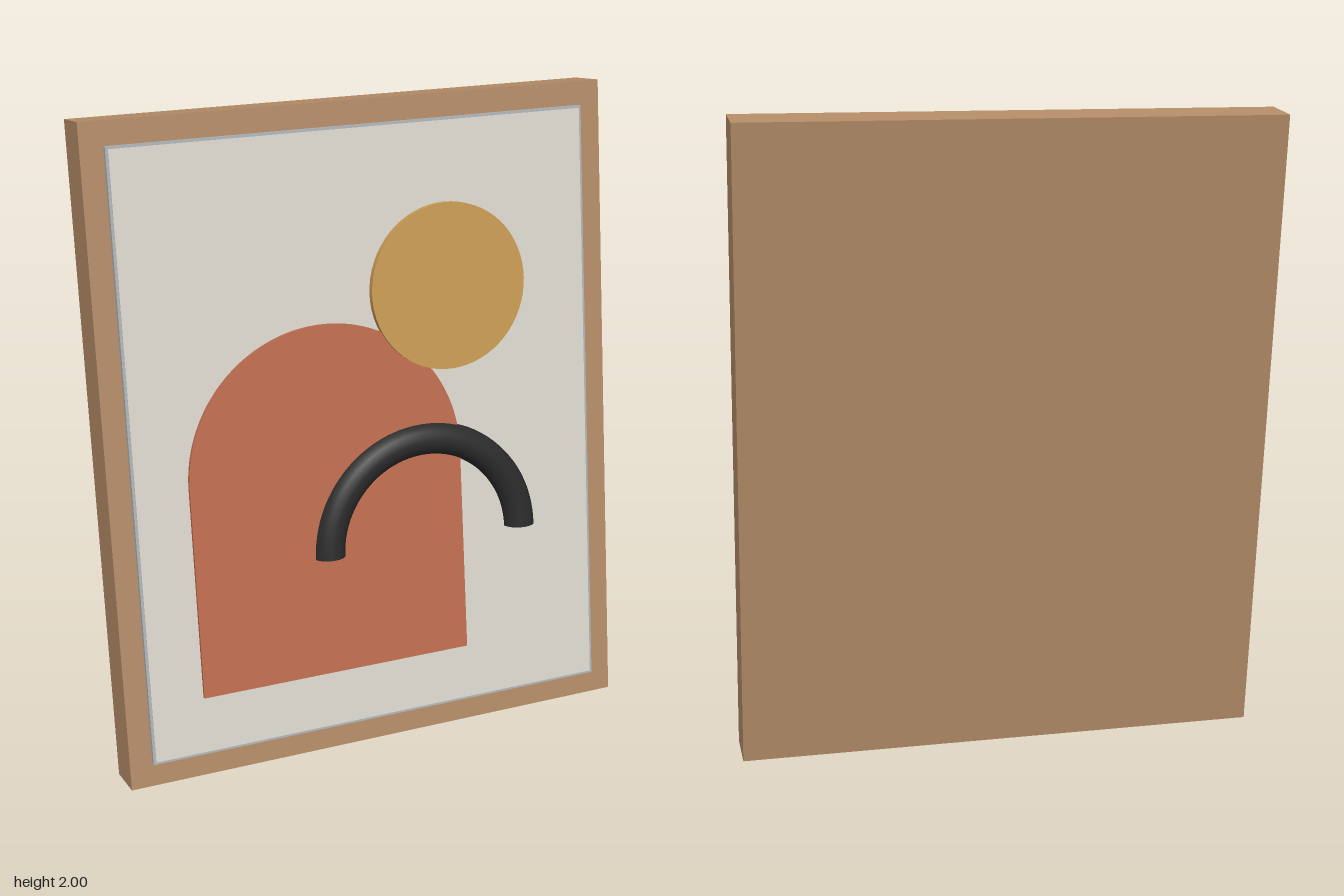
import * as THREE from 'three';

const paint = (name, color) => {
  const m = new THREE.MeshStandardMaterial({ color });
  m.name = name;
  return m;
};

export function createModel() {
  const wood = paint('wood', 0xb48c68);
  const rim = paint('grey rim', 0xaeb4b6);
  const cream = paint('cream', 0xddd9d0);
  const terracotta = paint('terracotta', 0xc06e4f);
  const gold = paint('gold', 0xc99b54);
  const black = paint('black', 0x2b2b2b);

  // Leaning picture: origin at the lower back edge, tilted backwards
  const picture = new THREE.Group();
  picture.name = 'leaningPicture';
  picture.rotation.x = -0.12;
  picture.position.z = 0.05;

  const add = (name, geometry, material, x, y, z, parent = picture) => {
    const mesh = new THREE.Mesh(geometry, material);
    mesh.name = name;
    mesh.position.set(x, y, z);
    parent.add(mesh);
    return mesh;
  };

  // Frame and canvas panel with a thin rim
  add('frame', new THREE.BoxGeometry(1.65, 1.998, 0.136), wood, 0, 0.999, 0.068);
  add('canvasRim', new THREE.BoxGeometry(1.51, 1.854, 0.024), rim, 0, 0.999, 0.138);
  add('canvas', new THREE.BoxGeometry(1.494, 1.838, 0.006), cream, 0, 0.999, 0.15);

  // Arched panel
  const r = 0.441;
  const arch = new THREE.Shape();
  arch.moveTo(-r, 0);
  arch.lineTo(r, 0);
  arch.lineTo(r, 0.652);
  arch.absarc(0, 0.652, r, 0, Math.PI, false);
  arch.closePath();
  add('archPanel', new THREE.ExtrudeGeometry(arch, { depth: 0.02, bevelEnabled: false, curveSegments: 40 }),
    terracotta, -0.144, 0.257, 0.144);

  // Sun disc
  const disc = new THREE.CylinderGeometry(0.255, 0.255, 0.03, 64).rotateX(Math.PI / 2);
  add('sunDisc', disc, gold, 0.276, 1.42, 0.158);

  // Half-ring bow with closed ends
  const bow = new THREE.Group();
  bow.name = 'bow';
  bow.position.set(0.172, 0.629, 0.152);
  picture.add(bow);
  add('bowRing', new THREE.TorusGeometry(0.325, 0.05, 20, 48, Math.PI), black, 0, 0, 0, bow);
  for (const side of [-1, 1]) {
    add('bowEnd', new THREE.CircleGeometry(0.05, 20).rotateX(Math.PI / 2), black, side * 0.325, 0, 0, bow);
  }

  const model = new THREE.Group();
  model.name = 'framedArt';
  model.add(picture);
  return model;
}
